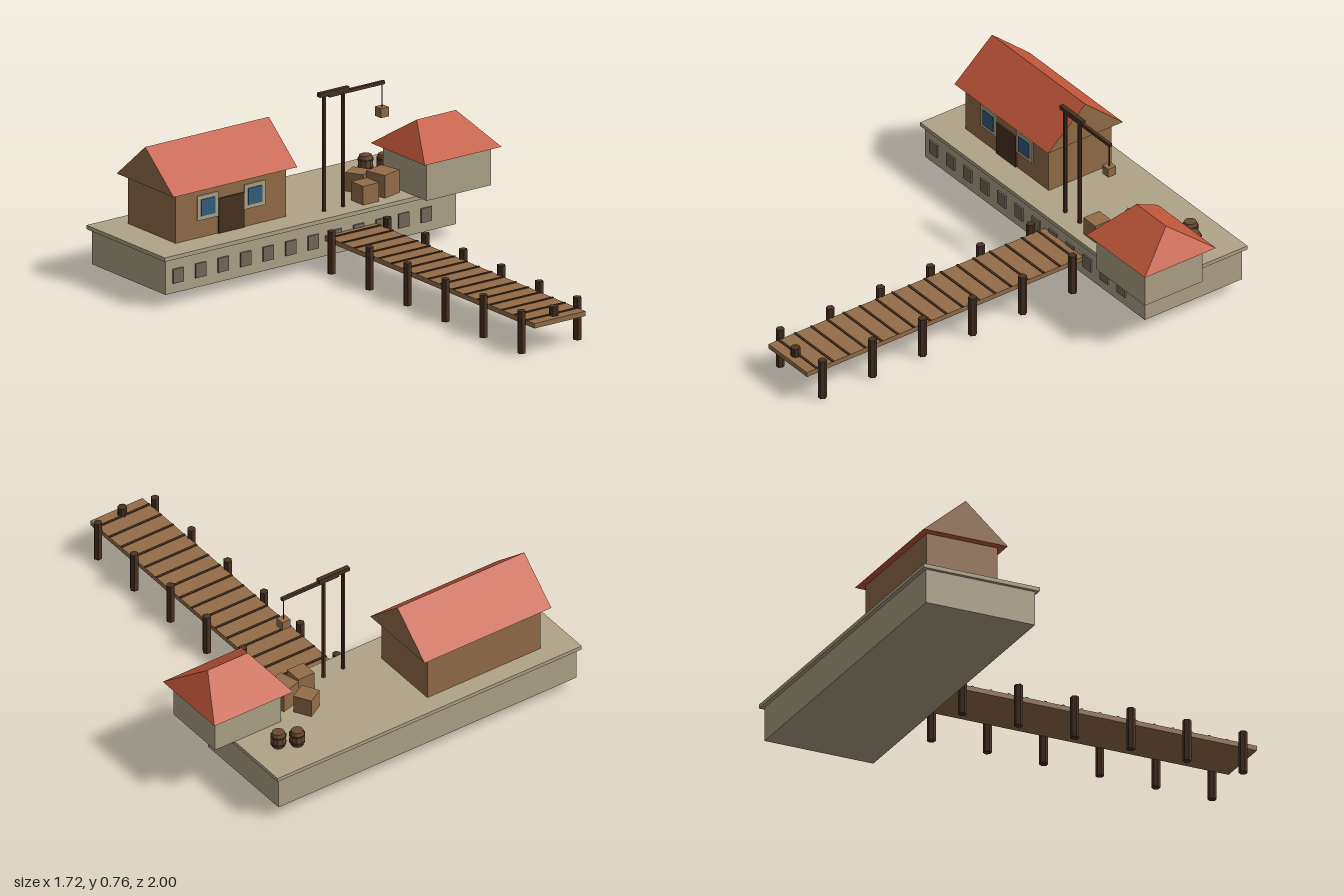
import * as THREE from 'three';
import { ConvexGeometry } from 'three/addons/geometries/ConvexGeometry.js';

const paint = (name, color) => {
  const m = new THREE.MeshStandardMaterial({ color, flatShading: true });
  m.name = name;
  return m;
};

export function createModel() {
  const stone = paint('stone', 0xb0a488);
  const opening = paint('wall opening', 0x746c5a);
  const wood = paint('wood', 0x946d48);
  const darkWood = paint('dark wood', 0x483222);
  const barrelWood = paint('barrel wood', 0x6b4a30);
  const tile = paint('roof tile', 0xc2573a);
  const glass = paint('window glass', 0x335f80);

  const root = new THREE.Group();
  root.name = 'harbour';
  const group = (name) => {
    const g = new THREE.Group();
    g.name = name;
    root.add(g);
    return g;
  };
  const mesh = (parent, name, geo, mat, x = 0, y = 0, z = 0) => {
    const m = new THREE.Mesh(geo, mat);
    m.name = name;
    m.position.set(x, y, z);
    parent.add(m);
    return m;
  };
  // Box given by its lower and upper corners
  const box = (parent, name, mat, [x0, y0, z0], [x1, y1, z1]) =>
    mesh(parent, name, new THREE.BoxGeometry(x1 - x0, y1 - y0, z1 - z0), mat,
      (x0 + x1) / 2, (y0 + y1) / 2, (z0 + z1) / 2);
  // Upright round post standing at y0
  const post = (parent, name, mat, x, z, y0, y1, r, sides = 6) => {
    const m = mesh(parent, name, new THREE.CylinderGeometry(r, r, y1 - y0, sides), mat, x, (y0 + y1) / 2, z);
    m.rotation.y = Math.PI / 2;
    return m;
  };
  const floor = 0.228;

  // Stone quay with a row of openings along the water side
  const quay = group('quay');
  box(quay, 'quayBase', stone, [-0.848, 0.055, -0.983], [0.703, 0.21, -0.468]);
  box(quay, 'quayCap', stone, [-0.863, 0.21, -1], [0.72, floor, -0.453]);
  for (let i = 0; i < 12; i++) {
    const x = -0.784 + i * 0.1205;
    box(quay, 'quayOpening', opening, [x - 0.028, 0.099, -0.469], [x + 0.028, 0.163, -0.461]);
  }

  // Warehouse with gable roof
  const house = group('warehouse');
  const wallZ = -0.578;
  box(house, 'walls', wood, [-0.71, floor, -0.912], [-0.122, 0.45, wallZ]);
  const gable = new THREE.Shape([[-0.199, 0], [0.199, 0], [0, 0.172]].map((p) => new THREE.Vector2(...p)));
  const gableGeo = new THREE.ExtrudeGeometry(gable, { depth: 0.66, bevelEnabled: false });
  gableGeo.rotateY(Math.PI / 2);
  mesh(house, 'gableRoof', gableGeo, [wood, tile], -0.745, 0.45, -0.745);
  box(house, 'door', darkWood, [-0.485, floor, wallZ], [-0.347, 0.384, wallZ + 0.007]);
  for (const x of [-0.541, -0.29]) {
    box(house, 'windowFrame', stone, [x - 0.056, 0.306, wallZ], [x + 0.056, 0.416, wallZ + 0.005]);
    box(house, 'windowPane', glass, [x - 0.037, 0.324, wallZ], [x + 0.037, 0.398, wallZ + 0.009]);
  }

  // Small stone hut with hipped roof
  const hut = group('hut');
  box(hut, 'hutWalls', stone, [0.478, floor, -0.686], [0.822, 0.4, -0.38]);
  const hip = [[0.548, 0.535, -0.54], [0.757, 0.535, -0.54]];
  for (const x of [0.447, 0.857]) for (const z of [-0.73, -0.352]) hip.push([x, 0.4, z]);
  mesh(hut, 'hippedRoof', new ConvexGeometry(hip.map((p) => new THREE.Vector3(...p))), tile);

  // Crane with two posts, an arm and a hanging load
  const crane = group('crane');
  const cz = -0.537;
  for (const x of [0.05, 0.152]) post(crane, 'cranePost', darkWood, x, cz, floor, 0.745, 0.009);
  box(crane, 'craneHead', darkWood, [0.022, 0.743, cz - 0.01], [0.18, 0.762, cz + 0.01]);
  box(crane, 'craneArm', darkWood, [0.075, 0.733, cz - 0.007], [0.37, 0.748, cz + 0.007]);
  post(crane, 'craneRope', darkWood, 0.36, cz, 0.63, 0.735, 0.003);
  box(crane, 'hangingCrate', wood, [0.339, 0.59, cz - 0.021], [0.381, 0.632, cz + 0.021]);

  // Crates on the quay: x, z, size, turn in degrees
  const crates = group('crates');
  for (const [x, z, s, turn] of [[0.272, -0.54, 0.084, 0], [0.34, -0.677, 0.084, 30], [0.395, -0.577, 0.102, 15]]) {
    mesh(crates, 'crate', new THREE.BoxGeometry(s, s, s), wood, x, floor + s / 2, z)
      .rotation.y = THREE.MathUtils.degToRad(turn);
  }

  // Bulging barrels with dark hoops
  const barrels = group('barrels');
  const profile = [[0, 0], [0.027, 0], [0.034, 0.024], [0.034, 0.05], [0.027, 0.074], [0, 0.074]]
    .map((p) => new THREE.Vector2(...p));
  for (const [x, z] of [[0.513, -0.852], [0.585, -0.815]]) {
    mesh(barrels, 'barrel', new THREE.LatheGeometry(profile, 10), barrelWood, x, floor, z);
    for (const y of [0.02, 0.054]) {
      mesh(barrels, 'hoop', new THREE.CylinderGeometry(0.0355, 0.0355, 0.007, 10), darkWood, x, floor + y, z);
    }
  }

  // Jetty deck with dark plank seams, piles and a mooring bollard
  const jetty = group('jetty');
  box(jetty, 'deck', wood, [0, 0.125, -0.465], [0.272, 0.147, 1]);
  for (let i = 0; i < 17; i++) {
    const z = -0.429 + i * 0.086;
    box(jetty, 'plankSeam', darkWood, [0, 0.145, z - 0.005], [0.272, 0.151, z + 0.005]);
  }
  for (let i = 0; i < 6; i++) {
    for (const x of [-0.014, 0.284]) post(jetty, 'pile', darkWood, x, -0.4 + i * 0.2655, 0, 0.19, 0.019);
  }
  post(jetty, 'bollard', darkWood, 0.135, 0.958, 0.147, 0.188, 0.021, 8);

  return root;
}
